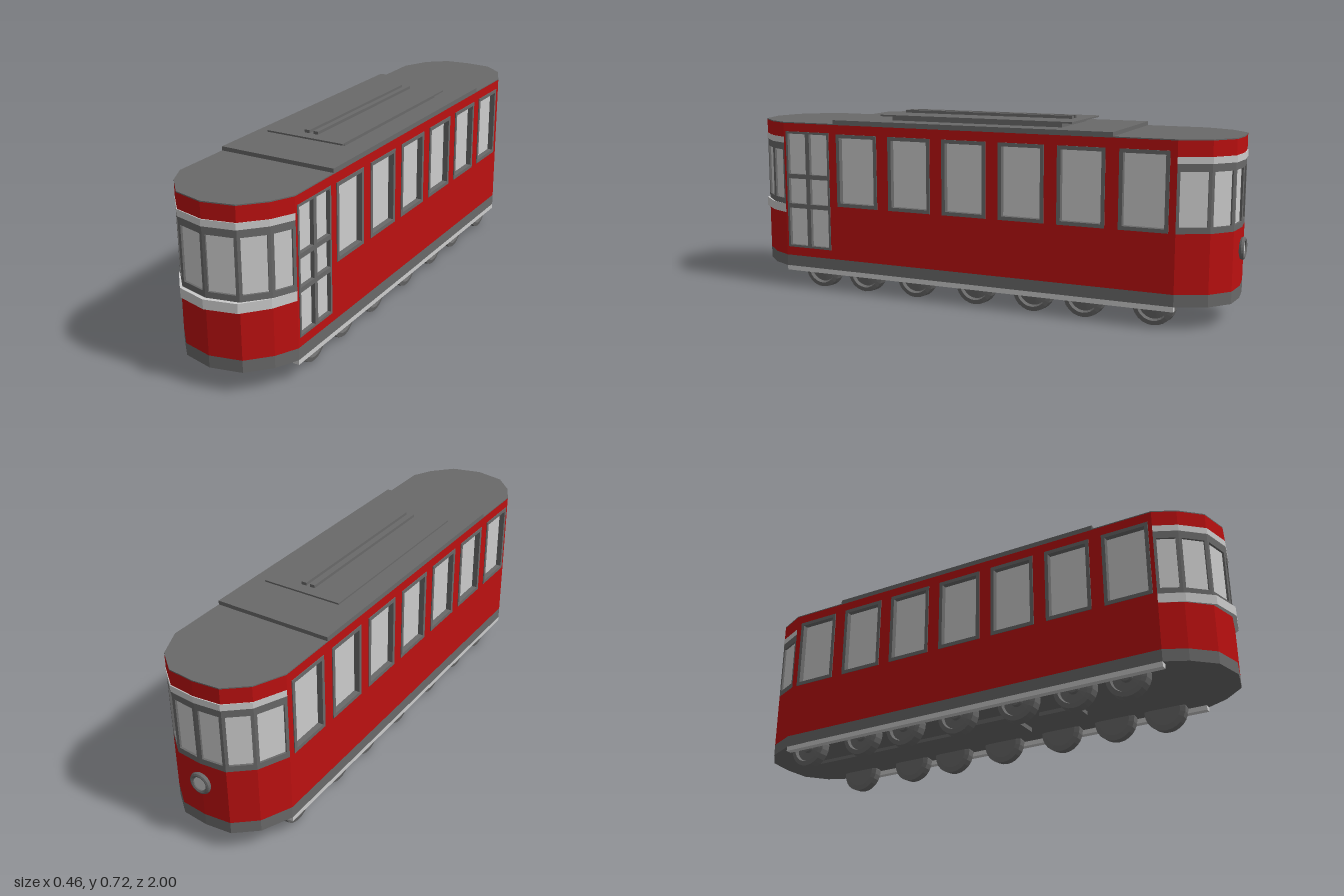
import * as THREE from 'three';

const mat = (color) => new THREE.MeshStandardMaterial({ color, flatShading: true });
const RED = mat(0xbb1010), DARK = mat(0x696969), GREY = mat(0xcccccc);
const W = 0.228, END = 0.8;

// Plan outlines (x, z) of the rounded ends
const FRONT = [[-W, END], [-0.188, 0.88], [-0.115, 0.958], [0, 0.985], [0.115, 0.958], [0.188, 0.88], [W, END]];
const BACK = [[W, -END], [0.178, -0.91], [0.1, -0.975], [0, -0.985], [-0.1, -0.975], [-0.178, -0.91], [-W, -END]];

function add(parent, name, geometry, material, x = 0, y = 0, z = 0) {
  const mesh = new THREE.Mesh(geometry, material);
  mesh.name = name;
  mesh.position.set(x, y, z);
  parent.add(mesh);
  return mesh;
}

// Box given by its width, length and bottom/top heights
function slab(parent, name, w, len, y0, y1, material, x = 0, z = 0) {
  return add(parent, name, new THREE.BoxGeometry(w, y1 - y0, len), material, x, (y0 + y1) / 2, z);
}

// Upright prism over a plan outline
function prism(parent, name, plan, y0, y1, material) {
  const shape = new THREE.Shape(plan.map(([x, z]) => new THREE.Vector2(x, -z)));
  const geo = new THREE.ExtrudeGeometry(shape, { depth: y1 - y0, bevelEnabled: false });
  return add(parent, name, geo.rotateX(-Math.PI / 2), material, 0, y0, 0);
}

function rect(Type, [x0, x1, y0, y1]) {
  return new Type([[x0, y0], [x1, y0], [x1, y1], [x0, y1]].map(([x, y]) => new THREE.Vector2(x, y)));
}

// Flat panel with rectangular holes; its outer face lies at z = out
function panel(parent, name, area, holes, depth, out, material) {
  const shape = rect(THREE.Shape, area);
  shape.holes = holes.map((h) => rect(THREE.Path, h));
  const geo = new THREE.ExtrudeGeometry(shape, { depth, bevelEnabled: false });
  return add(parent, name, geo, material, 0, 0, out - depth);
}

// Group standing on the line p to q, local +z facing outward
function wallGroup(parent, name, p, q) {
  const g = new THREE.Group();
  g.name = name;
  g.position.set(p[0], 0, p[1]);
  g.rotation.y = Math.atan2(p[1] - q[1], q[0] - p[0]);
  parent.add(g);
  return g;
}

const inset = ([x0, x1, y0, y1], b) => [x0 + b, x1 - b, y0 + b, y1 - b];

// Rounded end: red bands, trim and a faceted row of windows
function buildEnd(parent, name, plan, sill) {
  const g = new THREE.Group();
  g.name = name;
  parent.add(g);
  const bulge = (k) => plan.map(([x, z]) => [x, Math.sign(z) * (END + (Math.abs(z) - END) * k)]);
  prism(g, 'lowerPanel', plan, 0.13, sill, RED);
  prism(g, 'upperPanel', plan, 0.61, 0.668, RED);
  prism(g, 'upperTrim', bulge(1.02), 0.588, 0.612, GREY);
  if (name === 'frontEnd') prism(g, 'lowerTrim', bulge(1.08), 0.305, 0.34, GREY);
  for (let i = 0; i < plan.length - 1; i++) {
    const [p, q] = [plan[i], plan[i + 1]];
    const len = Math.hypot(q[0] - p[0], q[1] - p[1]);
    const w = wallGroup(g, 'endWindow', p, q);
    const hole = [0.011, len - 0.011, sill + 0.022, 0.56];
    panel(w, 'windowFrame', [0, len, sill, 0.588], [hole], 0.012, 0, DARK);
    panel(w, 'glass', inset(hole, -0.004), [], 0.004, -0.008, GREY);
  }
}

// Straight side wall; local x runs from the first to the second end
function buildSide(parent, name, p, q, centres, door) {
  const g = wallGroup(parent, name, p, q);
  const windows = centres.map((c) => [c - 0.09, c + 0.09, 0.345, 0.632]);
  const openings = door ? [door, ...windows] : windows;
  panel(g, 'wall', [0, 2 * END, 0.13, 0.668], openings, 0.03, 0, RED);
  for (const o of windows) {
    panel(g, 'windowFrame', o, [inset(o, 0.014)], 0.03, 0.003, DARK);
    panel(g, 'windowGlass', inset(o, 0.01), [], 0.005, -0.019, GREY);
  }
  if (door) {
    // Two columns of three panes
    const [x0, x1, y0, y1] = door, mid = (x0 + x1) / 2, rows = [y0, 0.335, 0.455, y1];
    const panes = [];
    for (let r = 0; r < 3; r++) {
      for (const [a, b] of [[x0, mid], [mid, x1]]) panes.push(inset([a, b, rows[r], rows[r + 1]], 0.009));
    }
    panel(g, 'doorFrame', door, panes, 0.022, 0.002, DARK);
    panel(g, 'doorGlass', inset(door, 0.004), [], 0.005, -0.013, GREY);
  }
}

export function createModel() {
  const model = new THREE.Group();
  model.name = 'tram';
  const ring = [...FRONT, ...BACK];

  // Body
  prism(model, 'skirt', ring, 0.085, 0.13, DARK);
  buildEnd(model, 'frontEnd', FRONT, 0.34);
  buildEnd(model, 'backEnd', BACK, 0.345);
  const centres = [0, 1, 2, 3, 4, 5, 6].map((i) => 0.115 + i * 0.23);
  buildSide(model, 'leftSide', [W, END], [W, -END], centres.slice(1).map((c) => c - 0.01), [0.01, 0.21, 0.165, 0.635]);
  buildSide(model, 'rightSide', [-W, -END], [-W, END], centres, null);

  // Roof
  prism(model, 'roof', ring, 0.668, 0.672, DARK);
  slab(model, 'roofDeck', 2 * W, 1.14, 0.67, 0.687, DARK);
  slab(model, 'roofBox', 0.28, 0.7, 0.687, 0.704, DARK);
  slab(model, 'roofPlate', 0.314, 0.79, 0.703, 0.709, DARK);
  for (const x of [-0.017, 0.019]) slab(model, 'roofRail', 0.02, 0.7, 0.709, 0.72, DARK, x);

  // Rear headlight
  const lamp = new THREE.Group();
  lamp.name = 'headlight';
  lamp.position.set(0, 0.268, -0.985);
  model.add(lamp);
  add(lamp, 'lampRing', new THREE.TorusGeometry(0.033, 0.009, 8, 24), DARK, 0, 0, -0.006);
  add(lamp, 'lampLens', new THREE.CylinderGeometry(0.03, 0.03, 0.012, 24).rotateX(Math.PI / 2), GREY, 0, 0, -0.003);

  // Underframe
  for (const s of [-1, 1]) slab(model, 'sideSill', 0.024, 1.6, 0.067, 0.086, GREY, s * 0.216);
  slab(model, 'brakeBeam', 0.05, 0.7, 0.072, 0.086, DARK, 0, -0.45);
  slab(model, 'equipmentBox', 0.17, 0.25, 0.068, 0.086, DARK, 0, 0.02);
  slab(model, 'smallBox', 0.08, 0.16, 0.07, 0.086, DARK, 0, 0.32);

  // Wheels
  const profile = [[0, -0.022], [0.06, -0.022], [0.08, -0.018], [0.077, 0.018], [0.06, 0.022], [0.055, 0.008],
    [0.024, 0.011], [0.02, 0.022], [0, 0.022]].map(([r, a]) => new THREE.Vector2(r, a));
  const wheelGeo = new THREE.LatheGeometry(profile, 24);
  for (const z of [0.655, 0.455, 0.23, -0.025, -0.26, -0.46, -0.72]) {
    for (const s of [-1, 1]) {
      const wheel = add(model, 'wheel', wheelGeo, DARK, s * 0.177, 0.08, z);
      wheel.rotation.z = -s * Math.PI / 2;
    }
  }
  return model;
}
